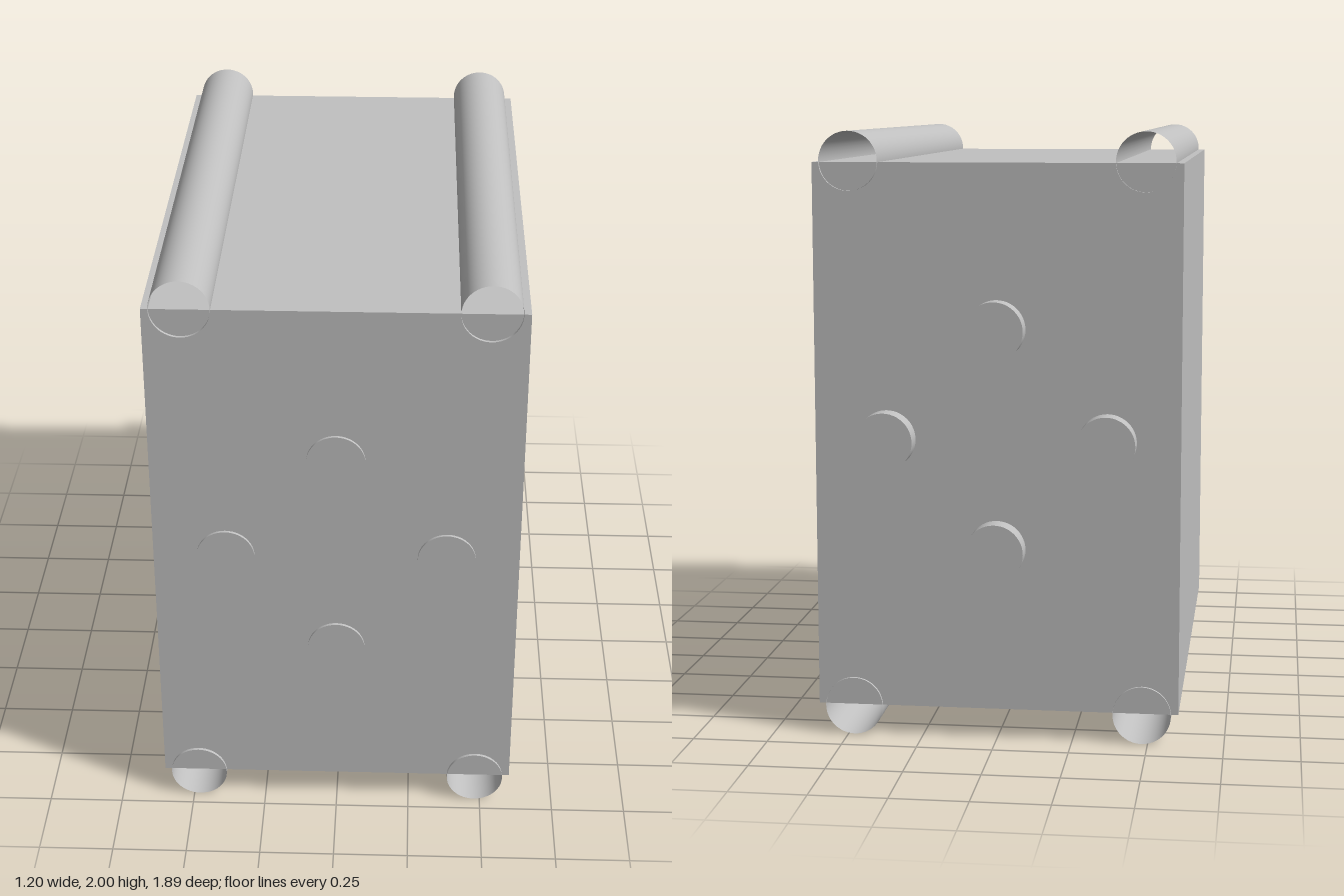
import * as THREE from 'three';

export function createModel() {
  const group = new THREE.Group();
  group.name = 'housing';
  const grey = new THREE.MeshStandardMaterial({ color: 0xc0c0c0 });
  grey.name = 'light grey';
  const greyOpen = new THREE.MeshStandardMaterial({ color: 0xc0c0c0, side: THREE.DoubleSide });
  greyOpen.name = 'light grey tube';

  const add = (name, geometry, material, x, y, z) => {
    const mesh = new THREE.Mesh(geometry, material);
    mesh.name = name;
    mesh.position.set(x, y, z);
    group.add(mesh);
  };

  // Solid block
  add('body', new THREE.BoxGeometry(1.2, 1.8, 1.81), grey, 0, 1, 0.035);

  // Open tubes along the four long edges, standing slightly proud at both ends
  const tube = new THREE.CylinderGeometry(0.096, 0.096, 1.83, 48, 1, true).rotateX(Math.PI / 2);
  for (const x of [-0.48, 0.48]) {
    for (const y of [0.096, 1.904]) add('edgeTube', tube, greyOpen, x, y, 0.035);
  }

  // Four pins through the block in a diamond, protruding at the back
  const pin = new THREE.CylinderGeometry(0.095, 0.095, 1.895, 48).rotateX(Math.PI / 2);
  for (const [x, y] of [[0, 1.365], [0, 0.64], [-0.362, 1], [0.362, 1]]) {
    add('pin', pin, grey, x, y, 0.0025);
  }

  return group;
}
